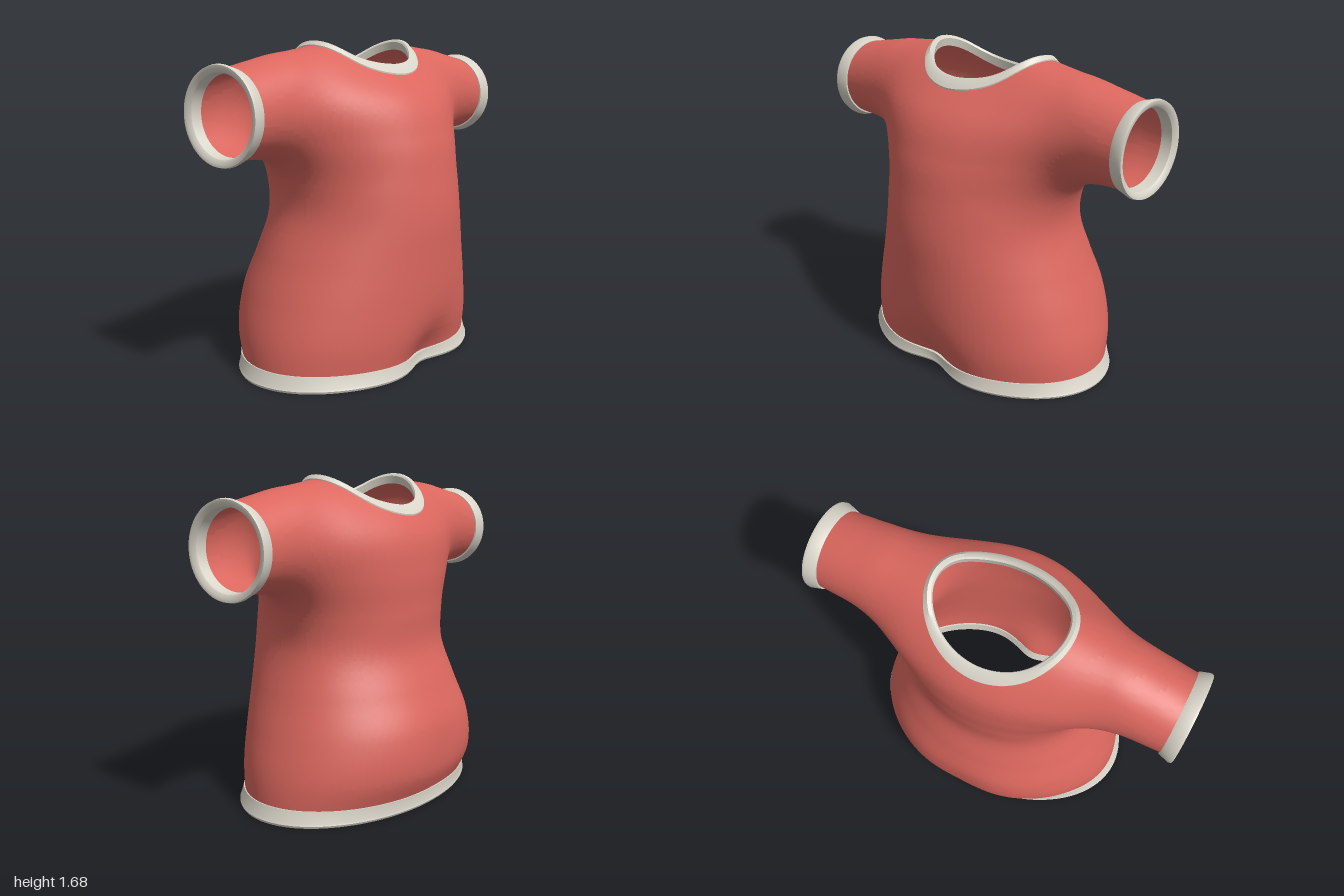
import * as THREE from 'three';
import { toCreasedNormals } from 'three/addons/utils/BufferGeometryUtils.js';

// Smooth interpolation through evenly spaced values
function spline(values, step, at) {
  const last = values.length - 1;
  const s = Math.min(Math.max(at / step, 0), last - 1e-6);
  const i = Math.floor(s), t = s - i;
  const p = (k) => values[Math.min(Math.max(k, 0), last)];
  const m0 = (p(i + 1) - p(i - 1)) / 2, m1 = (p(i + 2) - p(i)) / 2;
  const t2 = t * t, t3 = t2 * t;
  return p(i) * (2 * t3 - 3 * t2 + 1) + m0 * (t3 - 2 * t2 + t) + p(i + 1) * (3 * t2 - 2 * t3) + m1 * (t3 - t2);
}

// Torso: half width, front depth and back depth every 0.2 of height
const WIDTH = [0.74, 0.725, 0.67, 0.60, 0.54, 0.525, 0.51, 0.45, 0.26, 0.02];
const FRONT = [0.50, 0.53, 0.545, 0.555, 0.56, 0.54, 0.505, 0.41, 0.15, 0.02];
const BACK = [0.485, 0.575, 0.575, 0.495, 0.42, 0.42, 0.42, 0.375, 0.20, 0.02];
// Sleeve: top, underside and half depth every 0.2 outward from the middle
const TOP = [1.55, 1.59, 1.635, 1.63, 1.595, 1.56];
const UNDER = [1.15, 1.15, 1.15, 1.155, 1.145, 1.15];
const DEPTH = [0.16, 0.19, 0.225, 0.225, 0.215, 0.205];
const NECK_Z = -0.02;

function torsoRadius(angle, y) {
  const c = Math.cos(angle), s = Math.sin(angle);
  const a = Math.max(spline(WIDTH, 0.2, y), 0.02);
  const b = Math.max(spline(s > 0 ? FRONT : BACK, 0.2, y), 0.02);
  const r = 1 / Math.hypot(c / a, s / b);
  // soft hollows at the front of the hem and the middle of the back
  const hollow = s > 0 ? 0.1 * Math.exp(-((y / 0.2) ** 2)) : 0.025 * Math.exp(-(((y - 0.3) / 0.2) ** 2));
  return r - hollow * Math.abs(s) * Math.exp(-((r * c / 0.21) ** 2));
}

// Signed field of torso and sleeves blended together, negative inside
function field(x, y, z) {
  const torso = Math.hypot(x, z) - torsoRadius(Math.atan2(z, x), y);
  const ax = Math.abs(x), top = spline(TOP, 0.2, ax), under = spline(UNDER, 0.2, ax);
  const dy = y - (top + under) / 2, r = Math.hypot(dy, z), angle = Math.atan2(z, dy);
  const sleeve = r - 1 / Math.hypot(Math.cos(angle) / ((top - under) / 2), Math.sin(angle) / spline(DEPTH, 0.2, ax));
  const k = 0.35, h = Math.max(k - Math.abs(torso - sleeve), 0) / k;
  return Math.min(torso, sleeve) - h * h * k / 4;
}

// Height of the cloth around the neck
function clothTop(x, z) {
  let lo = 1.3, hi = 1.75;
  for (let i = 0; i < 24; i++) {
    const mid = (lo + hi) / 2;
    if (field(x, mid, z) < 0) lo = mid; else hi = mid;
  }
  return lo;
}

// Cloth shell: one vertex per grid cell crossed by the field, joined by quads
function clothGeometry() {
  const h = 0.024, size = [81, 71, 56], origin = [-0.96, 0.03, -0.66];
  const stride = [1, size[0], size[0] * size[1]];
  const count = stride[2] * size[2];
  const values = new Float32Array(count);
  const at = (i, j, k) => i + j * stride[1] + k * stride[2];
  for (let k = 0; k < size[2]; k++)
    for (let j = 0; j < size[1]; j++)
      for (let i = 0; i < size[0]; i++)
        values[at(i, j, k)] = field(origin[0] + i * h, origin[1] + j * h, origin[2] + k * h);

  const positions = [], inNeck = [], index = [];
  const ids = new Map();
  function vertex(cell) {
    if (ids.has(cell)) return ids.get(cell);
    const ijk = [cell % size[0], Math.floor(cell / stride[1]) % size[1], Math.floor(cell / stride[2])];
    const centre = ijk.map((n, a) => origin[a] + (n + 0.5) * h);
    const p = centre.slice();
    for (let n = 0; n < 5; n++) {
      const f = field(...p), e = 0.002;
      const g = [0, 1, 2].map((a) => {
        const q = p.slice();
        q[a] += e;
        return (field(...q) - f) / e;
      });
      const len = g[0] * g[0] + g[1] * g[1] + g[2] * g[2] + 1e-6;
      for (let a = 0; a < 3; a++)
        p[a] = Math.min(Math.max(p[a] - f * g[a] / len, centre[a] - h * 0.75), centre[a] + h * 0.75);
    }
    // trim cleanly to the neck opening
    const q = Math.max(Math.hypot(p[0] / 0.348, (p[2] - NECK_Z) / 0.292), 0.05);
    if (q < 1) {
      p[0] /= q;
      p[2] = NECK_Z + (p[2] - NECK_Z) / q;
      p[1] = clothTop(p[0], p[2]);
    }
    const id = positions.length / 3;
    positions.push(...p);
    inNeck.push(q < 1);
    ids.set(cell, id);
    return id;
  }

  for (let k = 0; k < size[2]; k++)
    for (let j = 0; j < size[1]; j++)
      for (let i = 0; i < size[0]; i++) {
        const n = [i, j, k], c = at(i, j, k);
        for (let d = 0; d < 3; d++) {
          const u = (d + 1) % 3, v = (d + 2) % 3;
          if (n[d] >= size[d] - 1 || n[u] < 1 || n[v] < 1 || n[u] >= size[u] - 1 || n[v] >= size[v] - 1) continue;
          const inside = values[c] < 0;
          if (inside === values[c + stride[d]] < 0) continue;
          const quad = [c, c - stride[u], c - stride[u] - stride[v], c - stride[v]].map(vertex);
          if (quad.every((id) => inNeck[id])) continue;
          if (!inside) quad.reverse();
          index.push(quad[0], quad[1], quad[2], quad[0], quad[2], quad[3]);
        }
      }
  const geometry = new THREE.BufferGeometry();
  geometry.setAttribute('position', new THREE.Float32BufferAttribute(positions, 3));
  geometry.setIndex(index);
  geometry.computeVertexNormals();
  return geometry;
}

// Closed band lofted through rows of rings; point(row, angle) gives [x, y, z]
function bandGeometry(rows, point, sides = 96) {
  const positions = [], index = [];
  rows.forEach((row, i) => {
    for (let j = 0; j < sides; j++) {
      positions.push(...point(row, j / sides * Math.PI * 2));
      if (i === rows.length - 1) continue;
      const a = i * sides + j, b = i * sides + (j + 1) % sides;
      index.push(a, b, b + sides, a, b + sides, a + sides);
    }
  });
  const geometry = new THREE.BufferGeometry();
  geometry.setAttribute('position', new THREE.Float32BufferAttribute(positions, 3));
  geometry.setIndex(index);
  return toCreasedNormals(geometry, 0.7);
}

export function createModel() {
  const group = new THREE.Group();
  const cloth = new THREE.MeshStandardMaterial({ color: 0xdb675e, side: THREE.DoubleSide });
  cloth.name = 'red cloth';
  const trim = new THREE.MeshStandardMaterial({ color: 0xd9d4c8, side: THREE.DoubleSide });
  trim.name = 'cream trim';
  const add = (name, geometry, material) => {
    const mesh = new THREE.Mesh(geometry, material);
    mesh.name = name;
    group.add(mesh);
    return mesh;
  };

  add('shirtBody', clothGeometry(), cloth);

  // Hem: rows of [height, distance outside the torso]
  const hemRows = [[0.08, -0.01], [0.08, 0.006], [0.022, 0.026], [0.012, 0.032], [0, 0.027], [0, 0.002], [0.014, -0.012], [0.08, -0.01]];
  add('hem', bandGeometry(hemRows, ([y, out], t) => {
    const r = torsoRadius(t, y) + out;
    const dip = y > 0.05 && Math.sin(t) > 0 ? 0.02 * Math.exp(-((Math.cos(t) / 0.5) ** 2)) : 0;
    return [r * Math.cos(t), y - dip, r * Math.sin(t)];
  }, 128), trim);

  // Collar: rows of [half width, half depth, lift at the sides, lift at front and back]
  const collarRows = [[0.336, 0.272, -0.03, -0.01], [0.328, 0.26, 0.012, 0.045], [0.335, 0.266, 0.022, 0.056],
    [0.352, 0.288, 0.026, 0.046], [0.37, 0.32, 0.006, 0.008], [0.368, 0.318, -0.01, -0.01]];
  add('collar', bandGeometry(collarRows, ([a, b, side, middle], t) => {
    const c = Math.cos(t), s = Math.sin(t);
    const y = clothTop(0.37 * c, NECK_Z + 0.32 * s);
    return [a * c, y + side * c * c + middle * s * s, NECK_Z + b * s];
  }), trim);

  // Cuffs: rows of [distance outward, radius]
  const cuffRows = [[0.93, 0.19], [0.985, 0.195], [1, 0.213], [1, 0.229], [0.985, 0.233], [0.93, 0.216], [0.93, 0.19]];
  for (const [name, side] of [['leftCuff', 1], ['rightCuff', -1]])
    add(name, bandGeometry(cuffRows, ([x, r], t) =>
      [side * x, 1.356 + r * Math.sin(t), side * r * Math.cos(t)], 64), trim);

  return group;
}
